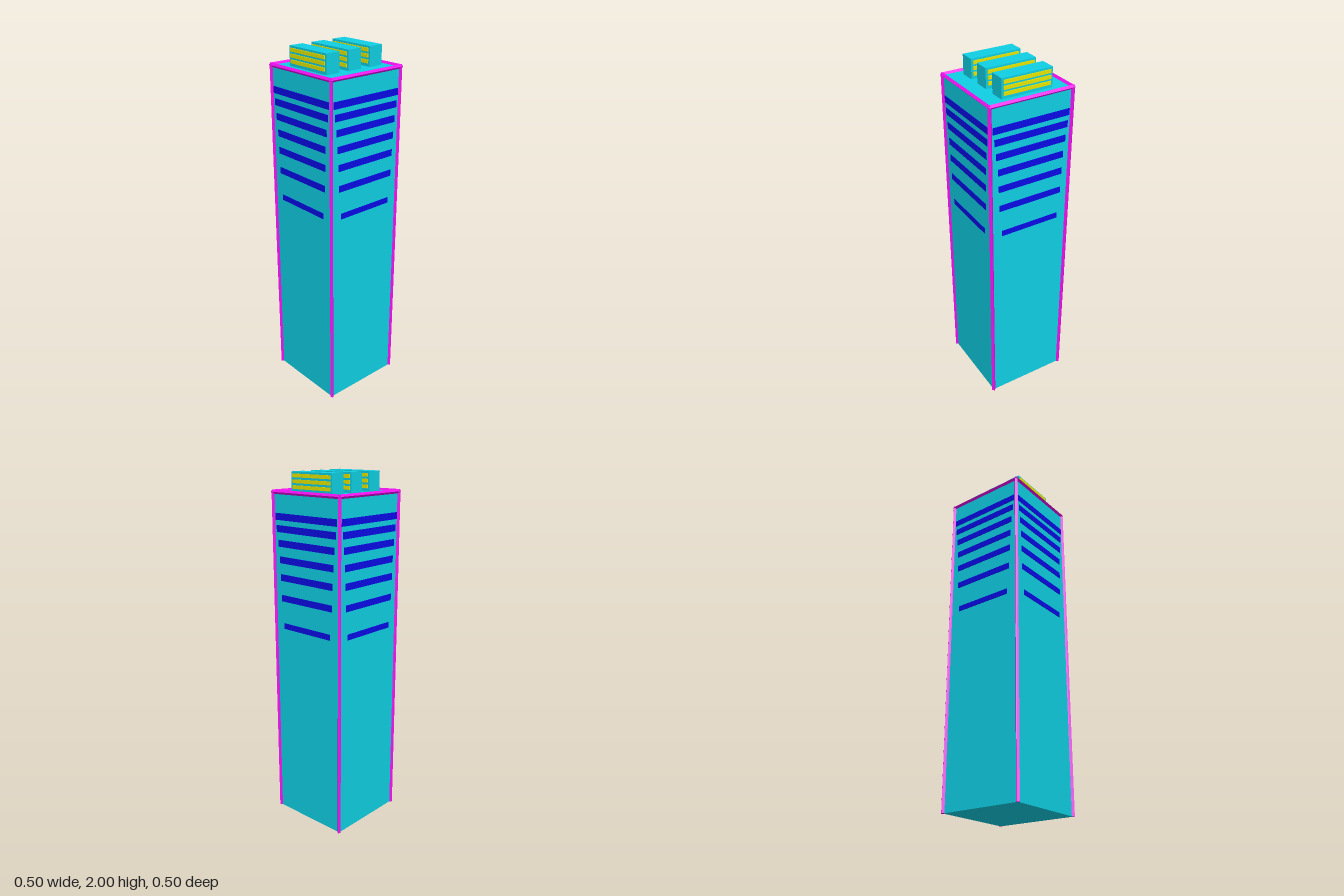
import * as THREE from 'three';

const mat = (color) => new THREE.MeshStandardMaterial({ color, flatShading: true });

export function createModel() {
  const group = new THREE.Group();
  const wall = mat(0x0fcfe3), trim = mat(0xee10ee), band = mat(0x0a0ae6), slat = mat(0xe6e600);
  const half = 0.24, roof = 1.893;

  const box = (name, material, size, pos, parent = group) => {
    const mesh = new THREE.Mesh(new THREE.BoxGeometry(...size), material);
    mesh.name = name;
    mesh.position.set(...pos);
    parent.add(mesh);
    return mesh;
  };

  // Tower block
  box('tower', wall, [half * 2, roof, half * 2], [0, roof / 2, 0]);

  // Diamond-section trim: four corner posts and four roof edges
  const rod = (name, length, pos, axis) => {
    const geo = new THREE.CylinderGeometry(0.0115, 0.0115, length, 4);
    if (axis === 'x') geo.rotateZ(Math.PI / 2);
    if (axis === 'z') geo.rotateX(Math.PI / 2);
    const mesh = new THREE.Mesh(geo, trim);
    mesh.name = name;
    mesh.position.set(...pos);
    group.add(mesh);
  };
  for (const s of [-1, 1]) {
    for (const t of [-1, 1]) rod('cornerTrim', roof, [s * half, roof / 2, t * half], 'y');
    rod('roofTrim', half * 2 + 0.012, [0, roof, s * half], 'x');
    rod('roofTrim', half * 2 + 0.012, [s * half, roof, 0], 'z');
  }

  // Window bands, shorter and further apart going down: [height, half width, thickness]
  const bands = [
    [1.764, 0.224, 0.037], [1.699, 0.216, 0.037], [1.62, 0.206, 0.037], [1.53, 0.197, 0.037],
    [1.432, 0.193, 0.037], [1.316, 0.188, 0.036], [1.157, 0.174, 0.032],
  ];
  for (let side = 0; side < 4; side++) {
    const face = new THREE.Group();
    face.name = 'windowBands';
    face.rotation.y = side * Math.PI / 2;
    for (const [y, w, h] of bands) box('windowBand', band, [w * 2, h, 0.006], [0, y, half], face);
    group.add(face);
  }

  // Rooftop units with three slats on front and back
  for (const z of [-0.149, -0.001, 0.146]) {
    const unit = new THREE.Group();
    unit.name = 'roofUnit';
    unit.position.set(0, roof, z);
    box('unitBody', wall, [0.292, 2 - roof, 0.086], [0, (2 - roof) / 2, 0], unit);
    for (const s of [-1, 1]) {
      for (const y of [0.027, 0.057, 0.087]) {
        box('unitSlat', slat, [0.27, 0.019, 0.01], [0, y, s * 0.0435], unit);
      }
    }
    group.add(unit);
  }

  return group;
}
